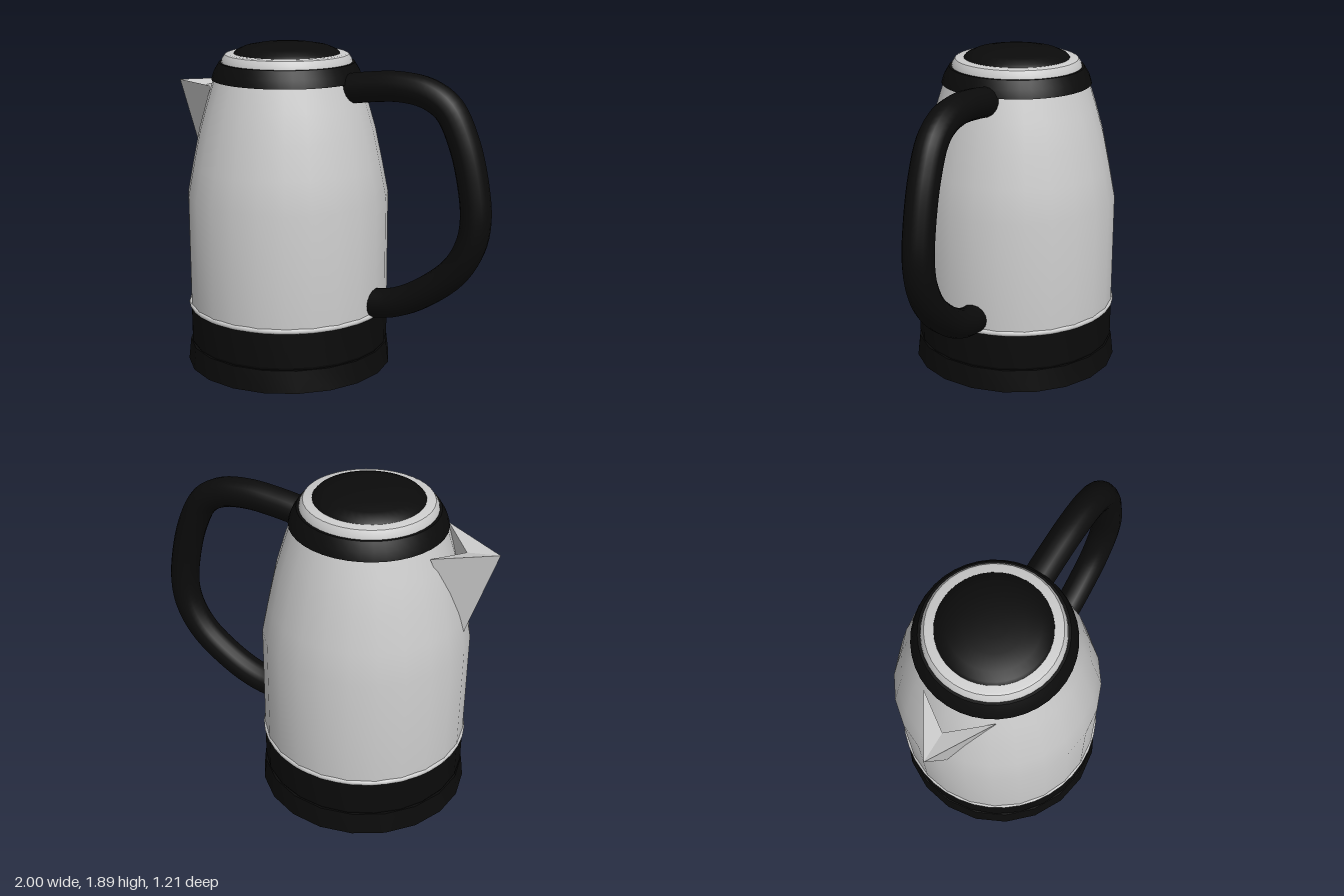
import * as THREE from 'three';
import { toCreasedNormals } from 'three/addons/utils/BufferGeometryUtils.js';

const steel = new THREE.MeshStandardMaterial({ color: 0xcccccc, side: THREE.DoubleSide });
const black = new THREE.MeshStandardMaterial({ color: 0x0b0b0b, side: THREE.DoubleSide });
const AXIS_X = -0.275; // the jug's axis; the handle fills the other side

export function createModel() {
  const model = new THREE.Group();

  const add = (name, geometry, material, x = 0, y = 0, z = 0) => {
    const mesh = new THREE.Mesh(geometry, material);
    mesh.name = name;
    mesh.position.set(x, y, z);
    model.add(mesh);
    return mesh;
  };

  // Turned part around the jug axis, profile given as [radius, height]
  const turned = (name, profile, material, segments) => {
    const points = profile.map(([r, y]) => new THREE.Vector2(r, y));
    const geometry = toCreasedNormals(new THREE.LatheGeometry(points, segments), 0.45);
    return add(name, geometry, material, AXIS_X);
  };

  // Power base and lower band
  turned('powerBase', [[0, 0], [0.605, 0], [0.59, 0.13], [0, 0.13]], black, 20);
  turned('lowerBand', [[0.55, 0.125], [0.577, 0.13], [0.585, 0.145], [0.585, 0.35]], black, 24);

  // Bead between the band and the body
  const bead = add('bead', new THREE.TorusGeometry(0.578, 0.016, 8, 40), steel, AXIS_X, 0.36);
  bead.rotation.x = Math.PI / 2;

  // Jug body: straight wall, then tapering shoulders
  turned('body', [[0.585, 0.35], [0.585, 1.02], [0.55, 1.2], [0.508, 1.4], [0.465, 1.55], [0.42, 1.69]], steel, 24);

  // Collar, rim and lid
  turned('collar', [[0.41, 1.685], [0.432, 1.685], [0.418, 1.73], [0.388, 1.78], [0.35, 1.782]], black, 40);
  turned('rim', [[0.375, 1.775], [0.37, 1.8], [0.353, 1.825], [0.34, 1.83], [0, 1.83]], steel, 40);
  turned('lid', [[0.305, 1.828], [0.29, 1.845], [0.24, 1.867], [0.16, 1.882], [0.08, 1.889], [0, 1.89]], black, 40);

  // Faceted spout: an outer prow with a folded, slightly sunken top
  const tip = [-1, 1.63, 0.05];
  const backRim = [-0.69, 1.64, -0.16];
  const frontRim = [-0.64, 1.645, 0.25];
  const fold = [-0.82, 1.61, 0.04];
  const foot = [-0.83, 1.1, 0.04];
  const faces = [
    [tip, foot, frontRim], [tip, backRim, foot],
    [tip, frontRim, fold], [tip, fold, backRim],
    [fold, frontRim, foot], [fold, foot, backRim],
  ];
  const spout = new THREE.BufferGeometry();
  spout.setAttribute('position', new THREE.Float32BufferAttribute(faces.flat(2), 3));
  spout.computeVertexNormals();
  add('spout', spout, steel);

  // Handle: round tube with both ends closed inside the body
  const path = new THREE.CatmullRomCurve3([
    [0.1, 1.65], [0.26, 1.675], [0.45, 1.69], [0.62, 1.665], [0.74, 1.59], [0.83, 1.42], [0.89, 1.2],
    [0.912, 1.0], [0.885, 0.85], [0.79, 0.69], [0.58, 0.525], [0.42, 0.452], [0.27, 0.425],
  ].map(([x, y]) => new THREE.Vector3(x, y, 0)));
  add('handle', new THREE.TubeGeometry(path, 60, 0.085, 16, false), black);
  for (const t of [0, 1]) {
    const cap = add('handleEnd', new THREE.CircleGeometry(0.085, 16), black);
    cap.position.copy(path.getPoint(t));
    const outward = path.getTangent(t).multiplyScalar(t ? 1 : -1);
    cap.quaternion.setFromUnitVectors(new THREE.Vector3(0, 0, 1), outward);
  }

  return model;
}
